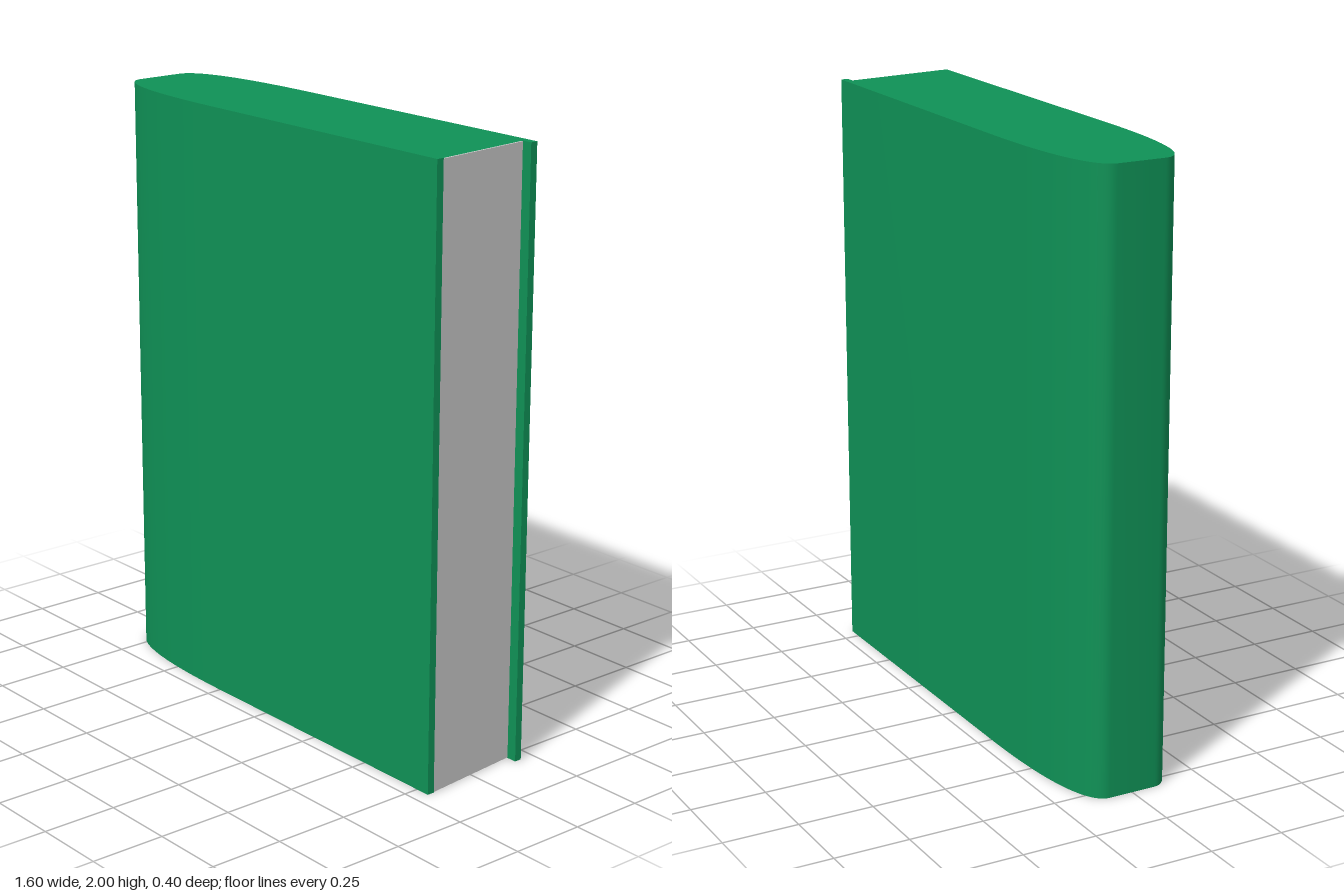
import * as THREE from 'three';
import { toCreasedNormals } from 'three/addons/utils/BufferGeometryUtils.js';

const HEIGHT = 2, BOARD = 0.025, GAP = 0.002;

// Plan outline inset by t: front fore edge, round the spine, back fore edge.
// Shape y becomes -z once laid flat.
function outline(t) {
  const curve = new THREE.CubicBezierCurve(
    new THREE.Vector2(-0.25, -0.2 + t), new THREE.Vector2(-0.55, -0.2 + t),
    new THREE.Vector2(-0.8 + t, -0.17 + t), new THREE.Vector2(-0.8 + t, -0.08 + t / 2));
  const front = curve.getPoints(28);
  const back = front.map(p => new THREE.Vector2(p.x, -p.y)).reverse();
  return [new THREE.Vector2(0.8, -0.2 + t), ...front, ...back, new THREE.Vector2(0.8, 0.2 - t)];
}

function prism(points, depth) {
  const g = new THREE.ExtrudeGeometry(new THREE.Shape(points), { depth, bevelEnabled: false });
  return toCreasedNormals(g.rotateX(-Math.PI / 2), 0.5);
}

function sheet(points) {
  return new THREE.ShapeGeometry(new THREE.Shape(points)).rotateX(-Math.PI / 2);
}

export function createModel() {
  const book = new THREE.Group();
  book.name = 'book';
  const green = new THREE.MeshStandardMaterial({ color: 0x0f9156, side: THREE.DoubleSide });
  const grey = new THREE.MeshStandardMaterial({ color: 0xcccccc });

  const add = (name, geometry, material, y = 0) => {
    const mesh = new THREE.Mesh(geometry, material);
    mesh.name = name;
    mesh.position.y = y;
    book.add(mesh);
  };

  const inner = outline(BOARD);
  const openEdge = inner.slice(0, -1);
  const pageOutline = [...openEdge, new THREE.Vector2(0.765, 0.2 - BOARD)];

  // Cover wraps front, spine and back
  add('cover', prism([...outline(0), ...inner.slice().reverse()], HEIGHT), green);
  // Page block with a slanted fore edge
  add('pages', prism(pageOutline, HEIGHT - 2 * GAP), grey, GAP);
  // Coloured page ends; the lower one leaves a triangle of pages bare
  add('topEdge', sheet(pageOutline), green, HEIGHT);
  add('bottomEdge', sheet(openEdge), green, 0);

  return book;
}
